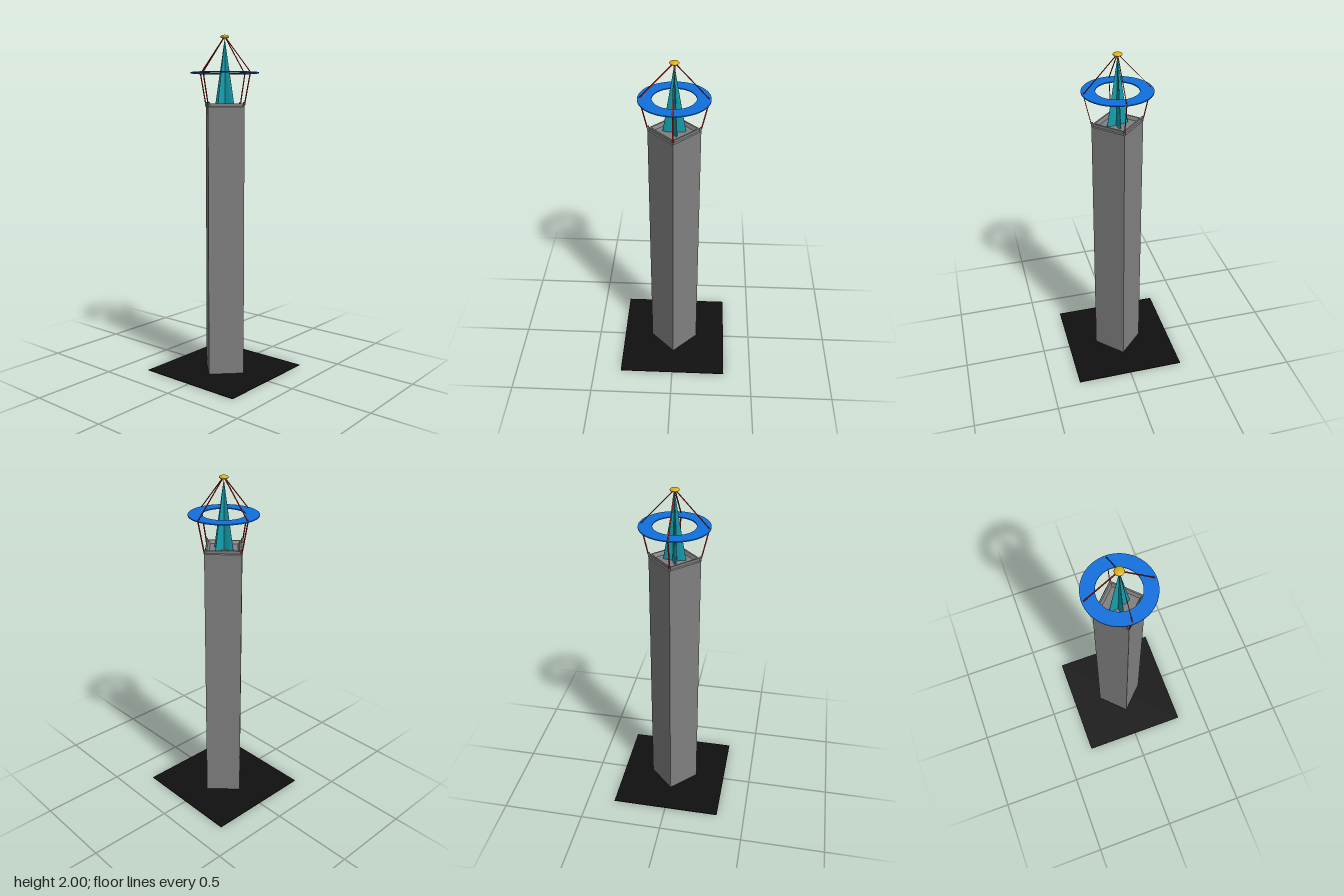
import * as THREE from 'three';

const mat = (name, color) => {
  const m = new THREE.MeshStandardMaterial({ color });
  m.name = name;
  return m;
};

// Faceted normals for hard-edged parts
const facet = (geo) => {
  const g = geo.toNonIndexed();
  g.computeVertexNormals();
  return g;
};

export function createModel() {
  const model = new THREE.Group();
  const stone = mat('stoneGrey', 0x808080);
  const black = mat('baseBlack', 0x101010);
  const blue = mat('ringBlue', 0x0f70de);
  const teal = mat('spireTeal', 0x149ead);
  const red = mat('strutRed', 0xb01414);
  const gold = mat('finialGold', 0xdcb010);

  const add = (name, geo, material, x = 0, y = 0, z = 0) => {
    const mesh = new THREE.Mesh(geo, material);
    mesh.name = name;
    mesh.position.set(x, y, z);
    model.add(mesh);
    return mesh;
  };

  // Ground slab and square shaft, set cornerwise
  add('baseSlab', new THREE.BoxGeometry(0.66, 0.004, 0.66), black, 0, 0.002, 0);
  add('towerShaft', facet(new THREE.CylinderGeometry(0.147, 0.147, 1.59, 4)), stone, 0, 0.795, 0);

  // Stepped parapet with a sloped inner face
  const rim = [[0.147, 1.59], [0.139, 1.594], [0.139, 1.609], [0.127, 1.609], [0.112, 1.591]]
    .map(([r, y]) => new THREE.Vector2(r, y));
  add('parapet', facet(new THREE.LatheGeometry(rim, 4)), stone);

  // Two crossed, flattened cones make the four-bladed spire
  [0, 103].forEach((deg, i) => {
    const blade = add('spireBlade' + (i + 1), new THREE.ConeGeometry(1, 0.39, 32), teal, 0, 1.785, 0);
    blade.scale.set(0.064, 1, 0.012);
    blade.rotation.y = THREE.MathUtils.degToRad(deg);
  });

  // Flat ring round the spire
  const ringProfile = [[0.12, 1.782], [0.197, 1.782], [0.197, 1.788], [0.12, 1.788], [0.12, 1.782]]
    .map(([r, y]) => new THREE.Vector2(r, y));
  add('ring', facet(new THREE.LatheGeometry(ringProfile, 64)), blue);

  // Strut: a thin upright bar sheared between two points
  const strut = (name, a, b) => {
    const h = b.y - a.y;
    const shear = new THREE.Matrix4().set(
      1, (b.x - a.x) / h, 0, (a.x + b.x) / 2,
      0, 1, 0, (a.y + b.y) / 2,
      0, (b.z - a.z) / h, 1, (a.z + b.z) / 2,
      0, 0, 0, 1);
    add(name, facet(new THREE.BoxGeometry(0.007, h, 0.0035).applyMatrix4(shear)), red);
  };

  // Struts and brackets at the four corners
  for (let i = 0; i < 4; i++) {
    const dx = Math.round(Math.cos(i * Math.PI / 2));
    const dz = Math.round(Math.sin(i * Math.PI / 2));
    const at = (r, y) => new THREE.Vector3(dx * r, y, dz * r);
    strut('lowerStrut', at(0.147, 1.605), at(0.188, 1.785));
    strut('upperStrut', at(0.188, 1.785), at(0.003, 1.988));
    add('cornerBracket', new THREE.BoxGeometry(0.01, 0.024, 0.01), stone, dx * 0.143, 1.605, dz * 0.143);
  }

  // Flattened finial
  add('finial', new THREE.SphereGeometry(0.026, 32, 16), gold, 0, 1.989, 0).scale.y = 0.42;

  return model;
}
